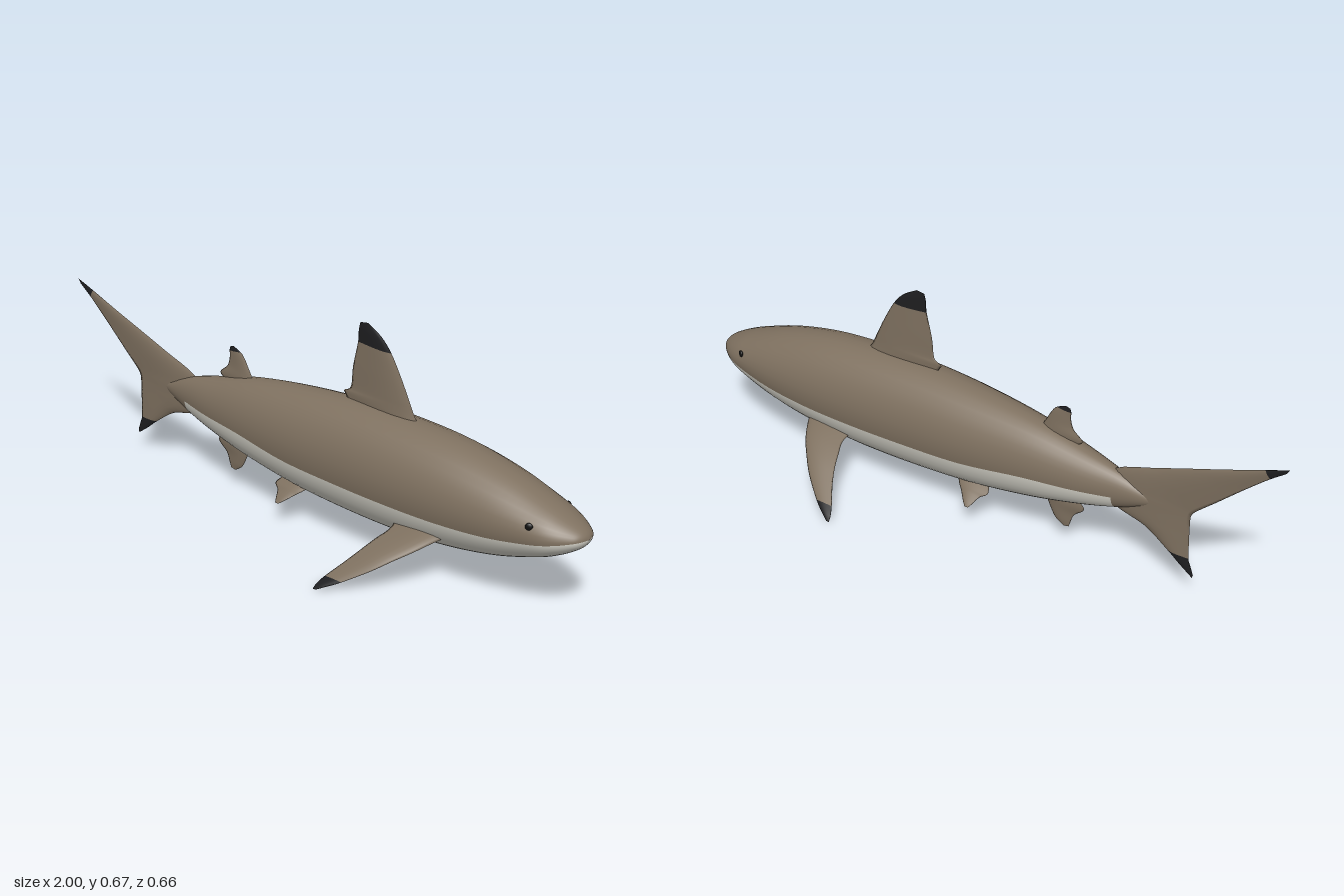
import * as THREE from 'three';

const material = (name, color) => Object.assign(new THREE.MeshStandardMaterial({ color }), { name });
const V = (x, y, z) => new THREE.Vector3(x, y, z);

// Skin closed rings into one smooth surface; pick(i, j) gives each quad's material index
function loft(name, rings, materials, pick) {
  const n = rings[0].length;
  const faces = materials.map(() => []);
  for (let i = 0; i < rings.length - 1; i++) {
    for (let j = 0; j < n; j++) {
      const k = (j + 1) % n;
      const a = i * n + j, b = i * n + k, c = b + n, d = a + n;
      faces[pick(i, j)].push(a, d, c, a, c, b);
    }
  }
  const geometry = new THREE.BufferGeometry().setFromPoints(rings.flat());
  geometry.setIndex(faces.flat());
  let start = 0;
  faces.forEach((f, m) => {
    if (f.length) geometry.addGroup(start, f.length, m);
    start += f.length;
  });
  geometry.computeVertexNormals();
  const mesh = new THREE.Mesh(geometry, materials);
  mesh.name = name;
  return mesh;
}

// Fin from sections [lead, trail, half thickness]; zone(section, facesDown) picks the material
function fin(name, sections, materials, zone) {
  const SUB = 4, K = 8;
  const lead = new THREE.CatmullRomCurve3(sections.map(s => s[0]), false, 'catmullrom');
  const trail = new THREE.CatmullRomCurve3(sections.map(s => s[1]), false, 'catmullrom');
  const count = (sections.length - 1) * SUB;
  const normals = [], rings = [];
  for (let i = 0; i <= count; i++) {
    const t = i / count, t0 = Math.max(0, t - 0.01), t1 = Math.min(1, t + 0.01);
    const a = lead.getPoint(t), b = trail.getPoint(t);
    const span = lead.getPoint(t1).sub(lead.getPoint(t0)).add(trail.getPoint(t1)).sub(trail.getPoint(t0));
    const normal = span.cross(b.clone().sub(a)).normalize();
    const s = Math.min(Math.floor(i / SUB), sections.length - 2);
    const half = THREE.MathUtils.lerp(sections[s][2], sections[s + 1][2], i / SUB - s);
    const ring = [];
    for (let j = 0; j < 2 * K; j++) {
      const u = j <= K ? j / K : 2 - j / K;
      const chord = u * u * (3 - 2 * u);
      const bulge = half * Math.sin(Math.PI * Math.pow(chord, 0.65)) * (j < K ? 1 : -1);
      ring.push(a.clone().lerp(b, chord).addScaledVector(normal, bulge));
    }
    normals.push(normal);
    rings.push(ring);
  }
  return loft(name, rings, materials, (i, j) =>
    zone(i / SUB, (normals[i].y < 0) === (j < K)));
}

// Upright fin in the middle plane from rows [leadX, leadY, trailX, trailY, half thickness]
const uprightFin = (name, rows, materials, zone) =>
  fin(name, rows.map(r => [V(r[0], r[1], 0), V(r[2], r[3], 0), r[4]]), materials, zone);

export function createModel() {
  const skin = material('brownSkin', 0x7f7160);
  const belly = material('paleBelly', 0xd2d0c6);
  const black = material('blackTip', 0x1e1e20);
  const eyeDark = material('eyeDark', 0x101010);
  const colours = [skin, belly, black];
  const group = new THREE.Group();
  group.name = 'shark';

  // Body keys, tail to nose: x, top, bottom, half width, height of the colour line
  const keys = [
    [-0.62, 0.264, 0.262, 0.002, 0.263], [-0.56, 0.292, 0.235, 0.018, 0.26],
    [-0.48, 0.323, 0.203, 0.039, 0.252], [-0.36, 0.355, 0.170, 0.068, 0.247],
    [-0.2, 0.392, 0.136, 0.096, 0.243], [0, 0.418, 0.107, 0.118, 0.222],
    [0.2, 0.431, 0.093, 0.129, 0.216], [0.4, 0.429, 0.091, 0.135, 0.214],
    [0.58, 0.413, 0.104, 0.133, 0.215], [0.74, 0.379, 0.132, 0.121, 0.222],
    [0.87, 0.335, 0.172, 0.100, 0.237], [0.93, 0.310, 0.198, 0.081, 0.247],
    [0.975, 0.287, 0.225, 0.051, 0.256], [0.993, 0.273, 0.243, 0.027, 0.259],
    [1, 0.26, 0.258, 0.001, 0.259],
  ];
  const curves = [1, 2, 3, 4].map(c =>
    new THREE.SplineCurve(keys.map(k => new THREE.Vector2(k[0], k[c]))));
  const SUB = 6, ARC = 18, count = (keys.length - 1) * SUB;
  const rings = [];
  for (let i = 0; i <= count; i++) {
    const pts = curves.map(c => c.getPoint(i / count));
    const [top, bottom, width, line] = pts.map(p => p.y);
    const mid = (top + bottom) / 2, high = (top - bottom) / 2;
    const a0 = Math.asin(THREE.MathUtils.clamp((line - mid) / high, -0.9, 0.9));
    const ring = [];
    for (let j = 0; j < 2 * ARC; j++) {
      const a = j < ARC
        ? a0 + (Math.PI - 2 * a0) * j / ARC
        : Math.PI - a0 + (Math.PI + 2 * a0) * (j - ARC) / ARC;
      ring.push(V(pts[0].x, mid + high * Math.sin(a), width * Math.cos(a)));
    }
    rings.push(ring);
  }
  group.add(loft('body', rings, colours, (i, j) => (j >= ARC && i >= 2 * SUB ? 1 : 0)));

  // Dorsal fins
  group.add(uprightFin('dorsalFin', [
    [0.43, 0.41, 0.17, 0.41, 0.014], [0.41, 0.432, 0.15, 0.438, 0.014],
    [0.397, 0.455, 0.145, 0.45, 0.013], [0.385, 0.48, 0.17, 0.467, 0.012],
    [0.355, 0.54, 0.177, 0.53, 0.010], [0.317, 0.605, 0.195, 0.61, 0.007],
    [0.28, 0.645, 0.197, 0.645, 0.005], [0.23, 0.674, 0.203, 0.67, 0],
  ], colours, s => (s >= 5 ? 2 : 0)));
  group.add(uprightFin('rearDorsalFin', [
    [-0.21, 0.36, -0.33, 0.35, 0.010], [-0.222, 0.387, -0.357, 0.372, 0.009],
    [-0.235, 0.41, -0.325, 0.402, 0.007], [-0.252, 0.44, -0.315, 0.435, 0.005],
    [-0.268, 0.457, -0.316, 0.452, 0.003], [-0.298, 0.47, -0.312, 0.466, 0],
  ], colours, s => (s >= 4 ? 2 : 0)));

  // Anal fin
  group.add(uprightFin('analFin', [
    [-0.23, 0.165, -0.33, 0.18, 0.009], [-0.24, 0.138, -0.37, 0.146, 0.008],
    [-0.25, 0.115, -0.336, 0.112, 0.006], [-0.27, 0.08, -0.325, 0.085, 0.004],
    [-0.3, 0.06, -0.318, 0.064, 0],
  ], colours, () => 0));

  // Tail fin, lower tip to upper tip
  group.add(uprightFin('tailFin', [
    [-0.735, 0.06, -0.738, 0.07, 0], [-0.69, 0.092, -0.727, 0.1, 0.003],
    [-0.65, 0.123, -0.72, 0.12, 0.005], [-0.57, 0.175, -0.718, 0.18, 0.008],
    [-0.47, 0.205, -0.717, 0.235, 0.011], [-0.45, 0.265, -0.72, 0.268, 0.012],
    [-0.47, 0.328, -0.74, 0.292, 0.011], [-0.6, 0.378, -0.79, 0.337, 0.008],
    [-0.72, 0.422, -0.84, 0.383, 0.006], [-0.82, 0.458, -0.885, 0.424, 0.005],
    [-0.93, 0.5, -0.945, 0.476, 0.003], [-1, 0.525, -0.99, 0.51, 0],
  ], colours, s => (s < 2 || s >= 10 ? 2 : 0)));

  // Paired fins and eyes: rows are [z, y, leadX, trailX, half thickness]
  const pectoral = [
    [0.08, 0.165, 0.6, 0.42, 0.011], [0.13, 0.147, 0.572, 0.427, 0.010],
    [0.17, 0.128, 0.545, 0.412, 0.009], [0.21, 0.104, 0.508, 0.395, 0.008],
    [0.25, 0.074, 0.465, 0.372, 0.006], [0.297, 0.034, 0.398, 0.338, 0.004],
    [0.318, 0.015, 0.36, 0.326, 0.003], [0.331, 0.002, 0.333, 0.323, 0],
  ];
  const pelvic = [
    [0.04, 0.128, 0.055, -0.06, 0.007], [0.062, 0.112, 0.035, -0.07, 0.006],
    [0.075, 0.1, 0.018, -0.05, 0.005], [0.095, 0.083, -0.003, -0.038, 0.003],
    [0.107, 0.073, -0.018, -0.03, 0],
  ];
  for (const [side, z] of [['left', 1], ['right', -1]]) {
    // On the animal, its flanks lie toward +z and -z
    const flank = z > 0 ? 'near' : 'far';
    const paired = rows => rows.map(r => [V(r[2], r[1], z * r[0]), V(r[3], r[1], z * r[0]), r[4]]);
    group.add(fin(flank + 'PectoralFin', paired(pectoral), colours,
      (s, down) => (s >= 5 ? 2 : down ? 1 : 0)));
    group.add(fin(flank + 'PelvicFin', paired(pelvic), colours, (s, down) => (down ? 1 : 0)));
    const eye = new THREE.Mesh(new THREE.SphereGeometry(0.011, 20, 14), eyeDark);
    eye.name = flank + 'Eye';
    eye.scale.z = 0.5;
    eye.position.set(0.87, 0.287, z * 0.091);
    eye.rotation.y = z * 0.4;
    group.add(eye);
  }
  return group;
}
